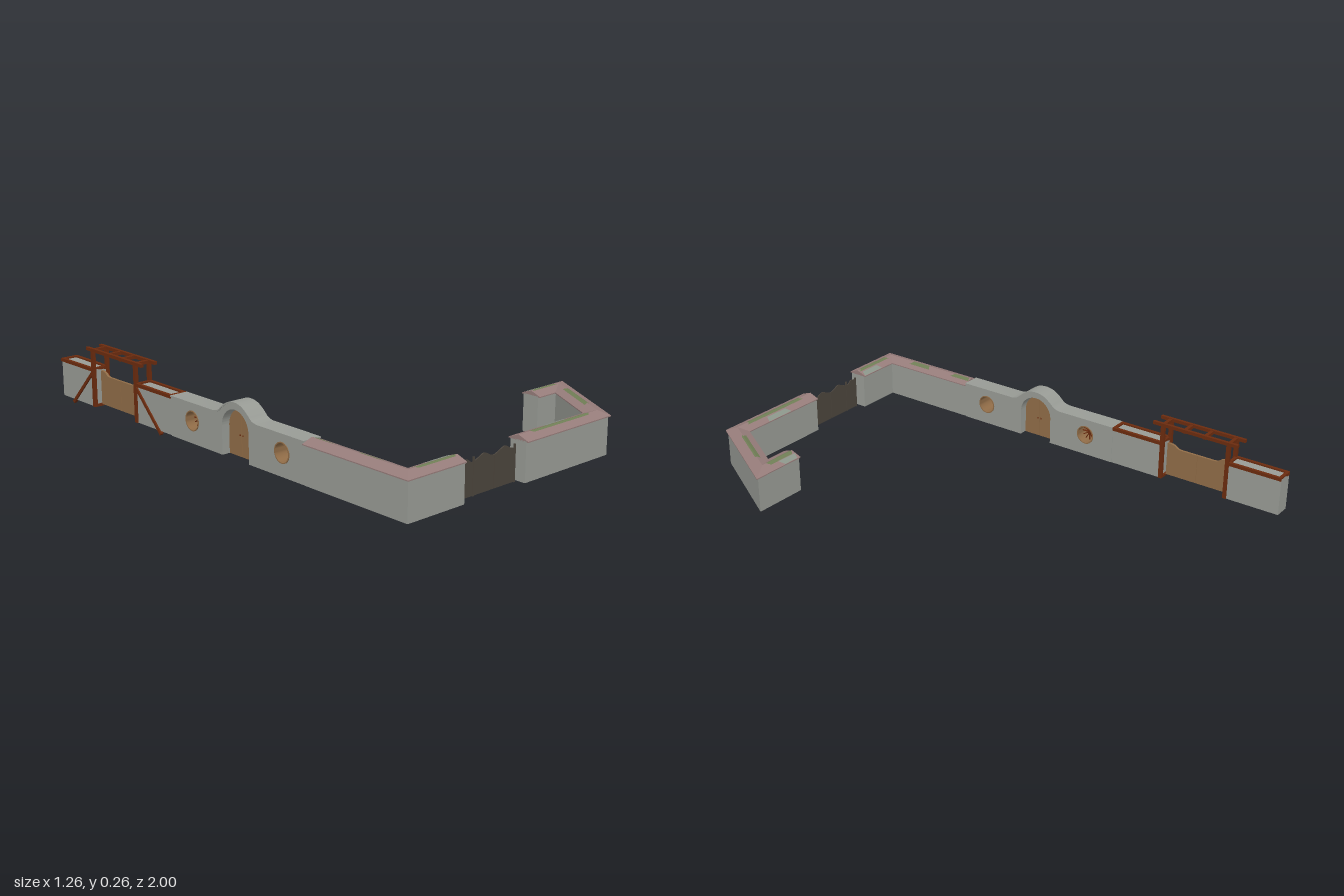
import * as THREE from 'three';
import { toCreasedNormals } from 'three/addons/utils/BufferGeometryUtils.js';

const mat = (name, color, side = THREE.FrontSide) => {
  const m = new THREE.MeshStandardMaterial({ color, side });
  m.name = name;
  return m;
};

export function createModel() {
  const model = new THREE.Group();
  model.name = 'courtyardWalls';
  const plaster = mat('grey plaster', 0x989b95);
  const tile = mat('faded pink tile', 0x967c7a);
  const moss = mat('moss green', 0x6f7d55, THREE.DoubleSide);
  const lichen = mat('grey green lichen', 0x8b958a, THREE.DoubleSide);
  const timber = mat('red brown timber', 0x6b2b0e);
  const oak = mat('tan wood', 0x906c47);
  const darkWood = mat('dark wood', 0x4b443c);

  const add = (name, geo, material, parent = model) => {
    const mesh = new THREE.Mesh(geo, material);
    mesh.name = name;
    parent.add(mesh);
    return mesh;
  };
  // Box given by its minimum and maximum on each axis
  const box = (name, [x0, x1], [y0, y1], [z0, z1], material, parent) => {
    const mesh = add(name, new THREE.BoxGeometry(x1 - x0, y1 - y0, z1 - z0), material, parent);
    mesh.position.set((x0 + x1) / 2, (y0 + y1) / 2, (z0 + z1) / 2);
    return mesh;
  };

  // Sweep a convex [offset, y] profile along an [x, z] path with mitred corners
  const sweep = (path, profile) => {
    const dirs = path.slice(1).map((p, i) =>
      new THREE.Vector2(p[0] - path[i][0], p[1] - path[i][1]).normalize());
    const rings = path.map((p, i) => {
      const a = dirs[Math.max(i - 1, 0)], b = dirs[Math.min(i, dirs.length - 1)];
      const n = new THREE.Vector2(-a.y - b.y, a.x + b.x).normalize();
      n.divideScalar(n.dot(new THREE.Vector2(-a.y, a.x)));
      return profile.map(([o, y]) => [p[0] + n.x * o, y, p[1] + n.y * o]);
    });
    const pos = [];
    const tri = (...pts) => pts.forEach(p => pos.push(...p));
    const count = profile.length;
    for (let s = 0; s < rings.length - 1; s++) {
      for (let i = 0; i < count; i++) {
        const j = (i + 1) % count, a = rings[s], b = rings[s + 1];
        tri(a[i], b[i], b[j], a[i], b[j], a[j]);
      }
    }
    const first = rings[0], last = rings[rings.length - 1];
    for (let i = 1; i < count - 1; i++) {
      tri(first[0], first[i], first[i + 1]);
      tri(last[0], last[i + 1], last[i]);
    }
    const geo = new THREE.BufferGeometry();
    geo.setAttribute('position', new THREE.Float32BufferAttribute(pos, 3));
    geo.computeVertexNormals();
    return geo;
  };

  // Tiled boundary walls
  const leftPath = [[-0.592, 0.5], [-0.592, 0.955], [-0.365, 0.955]];
  const rightPath = [[-0.062, 0.955], [0.367, 0.955], [0.552, 0.632], [0.388, 0.632]];
  const wallProfile = [[-0.035, 0.02], [0.035, 0.02], [0.035, 0.168], [-0.035, 0.168]];
  const roofProfile = [[-0.043, 0.165], [0.043, 0.165], [0.043, 0.169], [0, 0.185], [-0.043, 0.169]];
  for (const [name, path] of [['corner', leftPath], ['angled', rightPath]]) {
    add(name + 'Wall', sweep(path, wallProfile), plaster);
    add(name + 'WallRoof', sweep(path, roofProfile), tile);
  }

  // Weathered patches lying on the roof slopes: path, segment, along range, across range
  const patch = (material, path, seg, [s0, s1], [o0, o1]) => {
    const [p, q] = [path[seg], path[seg + 1]];
    const d = new THREE.Vector2(q[0] - p[0], q[1] - p[1]).normalize();
    const at = (s, o) => [p[0] + d.x * s - d.y * o, 0.1858 - Math.abs(o) * 0.016 / 0.043, p[1] + d.y * s + d.x * o];
    const across = o0 < 0 && o1 > 0 ? [o0, 0, o1] : [o0, o1];
    const pos = [];
    for (let i = 0; i < across.length - 1; i++) {
      const a = at(s0, across[i]), b = at(s0 + 0.012, across[i + 1]);
      const c = at(s1 - 0.012, across[i + 1]), e = at(s1, across[i]);
      pos.push(...a, ...e, ...c, ...a, ...c, ...b);
    }
    const geo = new THREE.BufferGeometry();
    geo.setAttribute('position', new THREE.Float32BufferAttribute(pos, 3));
    geo.computeVertexNormals();
    add('roofPatch', geo, material);
  };
  patch(moss, leftPath, 0, [0, 0.1], [-0.018, 0]);
  patch(moss, leftPath, 0, [0.22, 0.33], [-0.02, 0]);
  patch(moss, leftPath, 1, [0.03, 0.22], [-0.012, 0.008]);
  patch(lichen, leftPath, 1, [0.11, 0.225], [-0.042, -0.018]);
  patch(moss, rightPath, 0, [0.06, 0.38], [-0.012, 0.01]);
  patch(lichen, rightPath, 0, [0.16, 0.29], [-0.042, -0.018]);
  patch(moss, rightPath, 1, [0.08, 0.3], [-0.014, 0.006]);
  patch(moss, rightPath, 2, [0.02, 0.16], [-0.006, 0.016]);
  patch(lichen, rightPath, 2, [0.07, 0.16], [0.018, 0.042]);

  // Extrude a shape drawn in (-z, y) across the thickness of the long wall
  const acrossX = (shape, x0, depth) =>
    new THREE.ExtrudeGeometry(shape, { depth, bevelEnabled: false, curveSegments: 24 })
      .rotateY(Math.PI / 2).translate(x0, 0, 0);

  // Long wall with an arched doorway and two round windows
  const doorU = -0.13, windowY = 0.108, windows = [-0.385, 0.12];
  const half = [[0.12, 0.172], [0.095, 0.179], [0.07, 0.2], [0.038, 0.22], [0, 0.227]];
  const bump = new THREE.CatmullRomCurve3([
    ...half.map(([u, y]) => new THREE.Vector3(doorU + u, y, 0)),
    ...half.slice(0, -1).reverse().map(([u, y]) => new THREE.Vector3(doorU - u, y, 0)),
  ]).getPoints(32);
  const top = [new THREE.Vector2(0.25, 0.172), ...bump.map(p => new THREE.Vector2(p.x, p.y)),
    new THREE.Vector2(-0.5, 0.172)];
  const wall = new THREE.Shape();
  wall.moveTo(-0.5, 0.02);
  wall.lineTo(doorU - 0.075, 0.02);
  wall.lineTo(doorU - 0.075, 0.13);
  wall.absarc(doorU, 0.13, 0.075, Math.PI, 0, true);
  wall.lineTo(doorU + 0.075, 0.02);
  wall.lineTo(0.25, 0.02);
  top.forEach(p => wall.lineTo(p.x, p.y));
  for (const u of windows) {
    wall.holes.push(new THREE.Path().absarc(u, windowY, 0.038, 0, Math.PI * 2, true));
  }
  add('archedWall', toCreasedNormals(acrossX(wall, -0.626, 0.072), 0.5), plaster);
  const coping = new THREE.Shape([...top, ...top.map(p => new THREE.Vector2(p.x, p.y + 0.006)).reverse()]);
  add('wallCoping', toCreasedNormals(acrossX(coping, -0.629, 0.078), 0.5), plaster);

  // Arched double door
  for (const s of [-1, 1]) {
    const leaf = new THREE.Shape();
    leaf.moveTo(doorU + s * 0.0015, 0.022);
    leaf.lineTo(doorU + s * 0.071, 0.022);
    leaf.lineTo(doorU + s * 0.071, 0.128);
    leaf.absarc(doorU, 0.128, 0.071, s > 0 ? 0 : Math.PI, Math.PI / 2 - s * 0.02, s < 0);
    add('archedDoorLeaf', acrossX(leaf, -0.596, 0.012), oak);
    box('doorHandle', [-0.598, -0.582], [0.1, 0.106],
      [-doorU - s * 0.008 - 0.002, -doorU - s * 0.008 + 0.002], timber);
  }

  // Round window rims, one with wheel spokes
  const rimProfile = [[0.039, -0.039], [0.039, 0.039], [0.035, 0.039], [0.035, -0.039], [0.039, -0.039]]
    .map(p => new THREE.Vector2(...p));
  for (const u of windows) {
    const rim = toCreasedNormals(new THREE.LatheGeometry(rimProfile, 32).rotateZ(Math.PI / 2), 0.5);
    add('windowRim', rim, oak).position.set(-0.59, windowY, -u);
  }
  const wheel = new THREE.Group();
  wheel.name = 'windowWheel';
  wheel.position.set(-0.59, windowY, -windows[1]);
  for (let i = 0; i < 6; i++) {
    add('spoke', new THREE.BoxGeometry(0.006, 0.07, 0.003), timber, wheel).rotation.x = i * Math.PI / 6;
  }
  add('hub', new THREE.CylinderGeometry(0.009, 0.009, 0.01, 16).rotateZ(Math.PI / 2), timber, wheel);
  model.add(wheel);

  // Timber-capped wall sections on either side of the side gate
  const rails = [[-0.628, -0.615], [-0.565, -0.552]];
  for (const [z0, z1] of [[-0.48, -0.25], [-1, -0.77]]) {
    box('cappedWall', [-0.622, -0.556], [0.02, 0.172], [z0, z1], plaster);
    for (const x of rails) box('capRail', x, [0.165, 0.178], [z0, z1], timber);
    for (const z of [z0, z1 - 0.013]) box('capEnd', [-0.628, -0.552], [0.165, 0.178], [z, z + 0.013], timber);
  }

  // Pergola over the side gate
  for (const x of rails) {
    for (const z of [-0.48, -0.77]) box('pergolaPost', x, [0.02, 0.25], [z - 0.008, z + 0.008], timber);
    box('pergolaBeam', x, [0.247, 0.26], [-0.81, -0.435], timber);
  }
  for (const z of [-0.48, -0.575, -0.665, -0.77]) {
    box('pergolaCrossbar', [-0.628, -0.552], [0.245, 0.258], [z - 0.007, z + 0.007], timber);
  }
  for (const z of [-0.48, -0.77]) {
    box('postSill', [-0.628, -0.552], [0.02, 0.03], [z - 0.008, z + 0.008], timber);
  }
  // Diagonal braces on the outer face
  for (const [z0, z1] of [[-0.48, -0.322], [-0.77, -0.922]]) {
    const dy = 0.008 - 0.165, dz = z1 - z0;
    const brace = add('brace', new THREE.BoxGeometry(0.013, 0.012, Math.hypot(dy, dz)), timber);
    brace.position.set(-0.6215, 0.0865, (z0 + z1) / 2);
    brace.rotation.x = -Math.atan2(dy, dz);
  }

  // Side gate leaves with a dipped top
  for (const s of [-1, 1]) {
    const c = 0.625, leaf = new THREE.Shape();
    leaf.moveTo(c + s * 0.001, 0.028);
    leaf.lineTo(c + s * 0.136, 0.028);
    leaf.lineTo(c + s * 0.136, 0.166);
    leaf.quadraticCurveTo(c + s * 0.11, 0.168, c + s * 0.098, 0.158);
    leaf.quadraticCurveTo(c + s * 0.088, 0.148, c + s * 0.065, 0.149);
    leaf.lineTo(c + s * 0.001, 0.149);
    add('sideGateLeaf', acrossX(leaf, -0.595, 0.01), oak);
  }

  // Front gate: wavy panels between slim posts
  const panels = [[-0.344, -0.29, 0.148, 0.16, 0.14], [-0.282, -0.186, 0.142, 0.17, 0.143],
    [-0.183, -0.08, 0.142, 0.172, 0.143]];
  for (const [x0, x1, yA, yTop, yB] of panels) {
    const w = x1 - x0, panel = new THREE.Shape();
    panel.moveTo(x0, 0.022);
    panel.lineTo(x1, 0.022);
    panel.lineTo(x1, yB);
    panel.bezierCurveTo(x1 - w * 0.3, yB, x0 + w * 0.6, yTop, x0 + w * 0.35, (yA + yTop) / 2);
    panel.quadraticCurveTo(x0 + w * 0.15, yA + 0.006, x0, yA);
    const geo = new THREE.ExtrudeGeometry(panel, { depth: 0.004, bevelEnabled: false });
    add('frontGatePanel', geo.translate(0, 0, 0.953), darkWood);
  }
  for (const x of [-0.346, -0.286, -0.08]) {
    box('frontGatePost', [x - 0.003, x + 0.003], [0.02, 0.157], [0.952, 0.958], darkWood);
  }
  return model;
}
